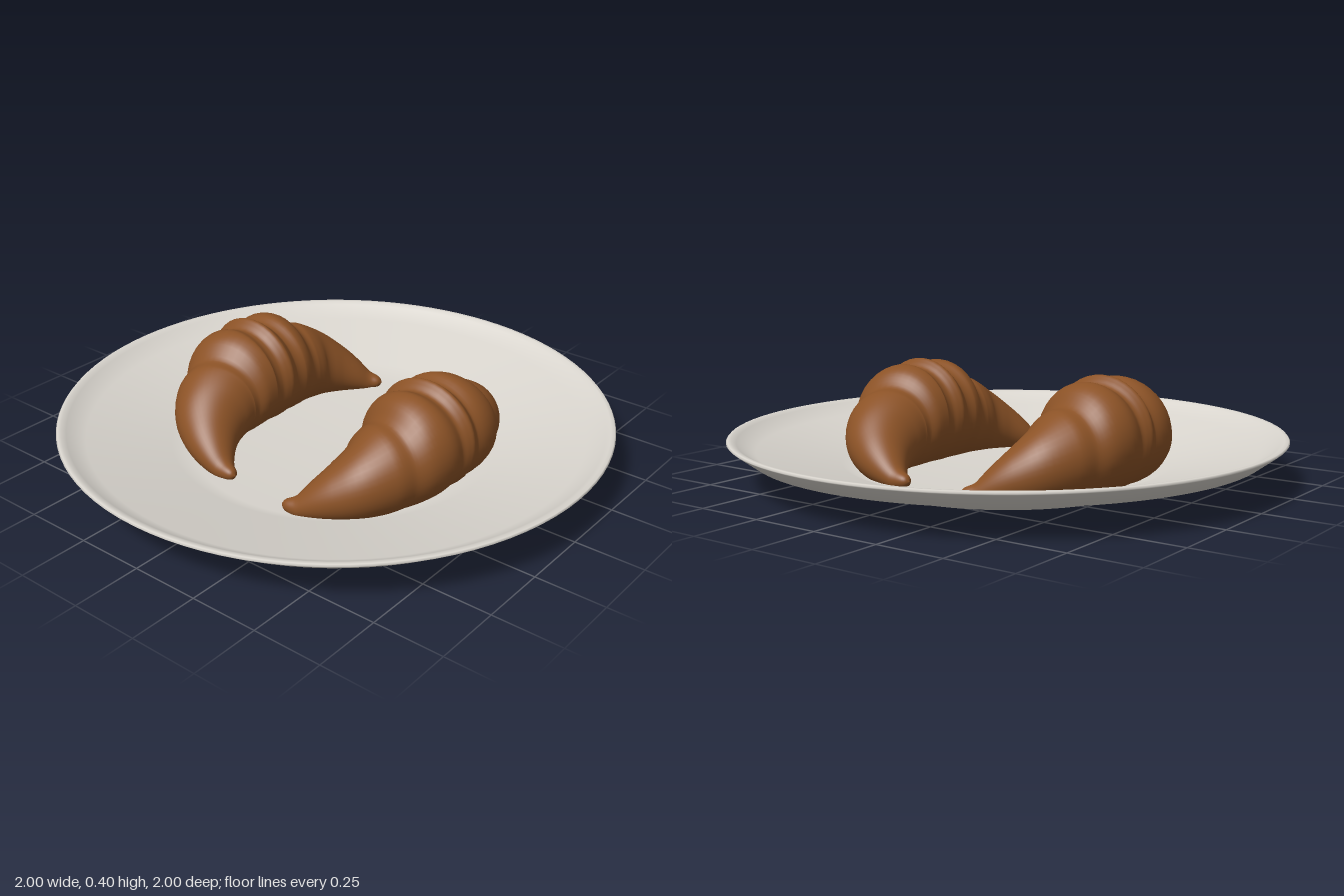
import * as THREE from 'three';

const glaze = new THREE.MeshStandardMaterial({ color: 0x8b5226 });
glaze.name = 'bakedBrown';
const ceramic = new THREE.MeshStandardMaterial({ color: 0xd9d5ce });
ceramic.name = 'plateWhite';

// Spine stations from tip to tip: x, z, radius (dips separate the rolled layers)
const STATIONS = [
  [-0.466, 0.143, 0], [-0.463, 0.155, 0.018], [-0.453, 0.185, 0.033], [-0.42, 0.235, 0.065],
  [-0.37, 0.295, 0.1], [-0.31, 0.345, 0.13], [-0.245, 0.373, 0.151], [-0.2, 0.385, 0.157],
  [-0.15, 0.395, 0.183], [-0.095, 0.4, 0.193], [-0.045, 0.4, 0.185], [-0.02, 0.4, 0.194],
  [0, 0.4, 0.2], [0.02, 0.4, 0.194], [0.045, 0.4, 0.185], [0.095, 0.4, 0.193],
  [0.15, 0.392, 0.183], [0.2, 0.382, 0.157], [0.245, 0.368, 0.151], [0.31, 0.33, 0.13],
  [0.365, 0.275, 0.098], [0.405, 0.21, 0.064], [0.427, 0.15, 0.034], [0.434, 0.112, 0.018],
  [0.435, 0.1, 0],
];

// Sweep round sections along the curved spine, with every section resting on the plate
function croissantGeometry(steps = 120, sides = 40) {
  const curve = new THREE.CatmullRomCurve3(STATIONS.map(([x, z, r]) => new THREE.Vector3(x, r, z)));
  const positions = [], index = [];
  for (let i = 0; i <= steps; i++) {
    const p = curve.getPoint(i / steps);
    const t = curve.getTangent(i / steps).setY(0).normalize();
    const r = Math.max(p.y, 0.0005);
    const cy = Math.max(r, 0.038);
    for (let j = 0; j < sides; j++) {
      const a = (j / sides) * Math.PI * 2;
      const out = r * Math.cos(a);
      positions.push(p.x - t.z * out, Math.max(0.01, cy + r * Math.sin(a)), p.z + t.x * out);
      if (i < steps) {
        const k = (j + 1) % sides;
        const a0 = i * sides + j, a1 = i * sides + k;
        index.push(a0, a0 + sides, a1, a1, a0 + sides, a1 + sides);
      }
    }
  }
  const g = new THREE.BufferGeometry();
  g.setAttribute('position', new THREE.Float32BufferAttribute(positions, 3));
  g.setIndex(index);
  g.computeVertexNormals();
  return g;
}

export function createModel() {
  const group = new THREE.Group();
  group.name = 'croissantsOnPlate';

  // Plate: foot, sloping underside, rounded rim, then the dished inside
  const profile = [
    [0, 0], [0.54, 0], [0.61, 0.05], [0.92, 0.1], [0.995, 0.155], [1, 0.16], [0.995, 0.166],
    [0.982, 0.166], [0.965, 0.157], [0.9, 0.118], [0.6, 0.06], [0.52, 0.022], [0, 0.02],
  ].map(([x, y]) => new THREE.Vector2(x, y));
  const plate = new THREE.Mesh(new THREE.LatheGeometry(profile, 96), ceramic);
  plate.name = 'plate';
  group.add(plate);

  // Two croissants facing each other
  const geometry = croissantGeometry();
  ['frontCroissant', 'backCroissant'].forEach((name, i) => {
    const croissant = new THREE.Mesh(geometry, glaze);
    croissant.name = name;
    croissant.rotation.y = i * Math.PI;
    group.add(croissant);
  });
  return group;
}
